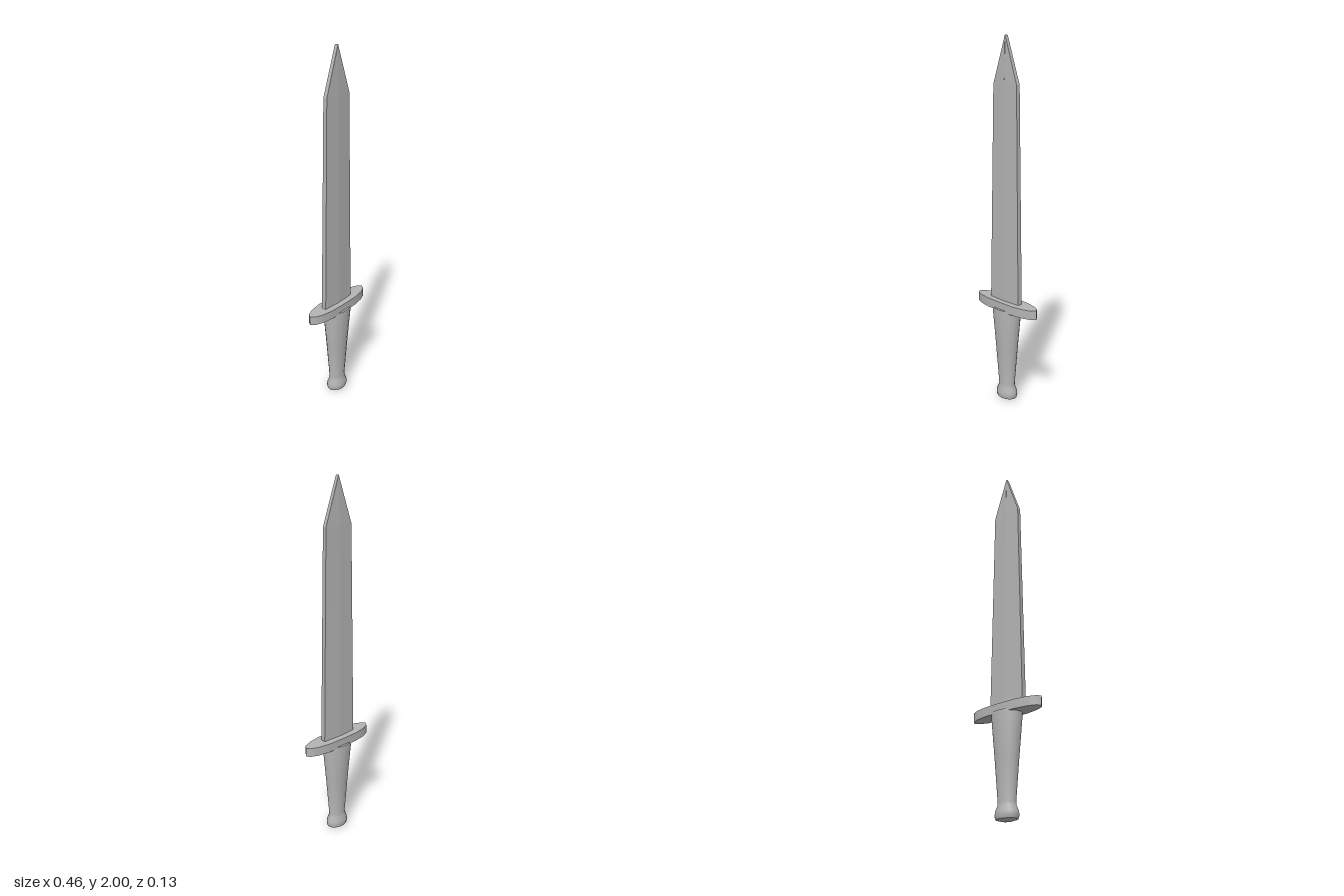
import * as THREE from 'three';
import { toCreasedNormals } from 'three/addons/utils/BufferGeometryUtils.js';

// Joins closed cross-sections (equal counts, counter-clockwise seen from above) into a capped solid.
function loft(sections) {
  const pos = [];
  const n = sections[0].length;
  const tri = (a, b, c) => pos.push(...a, ...b, ...c);
  for (let s = 0; s < sections.length - 1; s++) {
    const lo = sections[s], hi = sections[s + 1];
    for (let i = 0; i < n; i++) {
      const j = (i + 1) % n;
      tri(lo[i], lo[j], hi[j]);
      tri(lo[i], hi[j], hi[i]);
    }
  }
  const first = sections[0], last = sections[sections.length - 1];
  for (let i = 1; i < n - 1; i++) {
    tri(first[0], first[i + 1], first[i]);
    tri(last[0], last[i], last[i + 1]);
  }
  const g = new THREE.BufferGeometry();
  g.setAttribute('position', new THREE.Float32BufferAttribute(pos, 3));
  g.computeVertexNormals();
  return g;
}

// Six-sided blade section: blunt edges and a shallow central ridge on both faces.
function bladeSection(y, left, right, edge, ridge) {
  const mid = -0.004, z = 0.001;
  return [
    [left, y, z + edge], [mid, y, z + ridge], [right, y, z + edge],
    [right, y, z - edge], [mid, y, z - ridge], [left, y, z - edge],
  ];
}

export function createModel() {
  const group = new THREE.Group();
  const steel = new THREE.MeshStandardMaterial({ color: 0xb4b4b4 });
  steel.name = 'grey steel';

  const add = (name, geometry) => {
    const mesh = new THREE.Mesh(geometry, steel);
    mesh.name = name;
    group.add(mesh);
    return mesh;
  };

  // Blade, tapering gently to the shoulders and then to a narrow upright tip
  add('blade', loft([
    bladeSection(0.56, -0.115, 0.104, 0.014, 0.02),
    bladeSection(1.755, -0.091, 0.083, 0.011, 0.015),
    bladeSection(2.0, -0.005, -0.003, 0.009, 0.01),
  ]));

  // Crossguard, a flat pointed oval
  const outline = [
    [0.228, 0], [0.212, 0.022], [0.17, 0.04], [0.1, 0.052], [0, 0.054],
  ];
  const half = [...outline, ...outline.slice(0, -1).reverse().map(([x, z]) => [-x, z])];
  const full = [...half, ...half.slice(1, -1).reverse().map(([x, z]) => [x, -z])];
  const guard = new THREE.ExtrudeGeometry(
    new THREE.Shape(full.map(([x, z]) => new THREE.Vector2(x, z))),
    { depth: 0.05, bevelEnabled: false },
  );
  guard.rotateX(-Math.PI / 2);
  guard.translate(0, 0.535, 0);
  add('crossguard', toCreasedNormals(guard, 0.6));

  // Grip and flared pommel, one oval turned form
  const profile = [
    [0, 0], [0.03, 0.002], [0.062, 0.01], [0.068, 0.025], [0.066, 0.045],
    [0.053, 0.075], [0.051, 0.09], [0.07, 0.31], [0.091, 0.53], [0.09, 0.545], [0, 0.55],
  ].map(([r, y]) => new THREE.Vector2(r, y));
  const handle = new THREE.LatheGeometry(profile, 16);
  handle.scale(1, 1, 0.74);
  add('handle', toCreasedNormals(handle, 0.8));

  return group;
}
